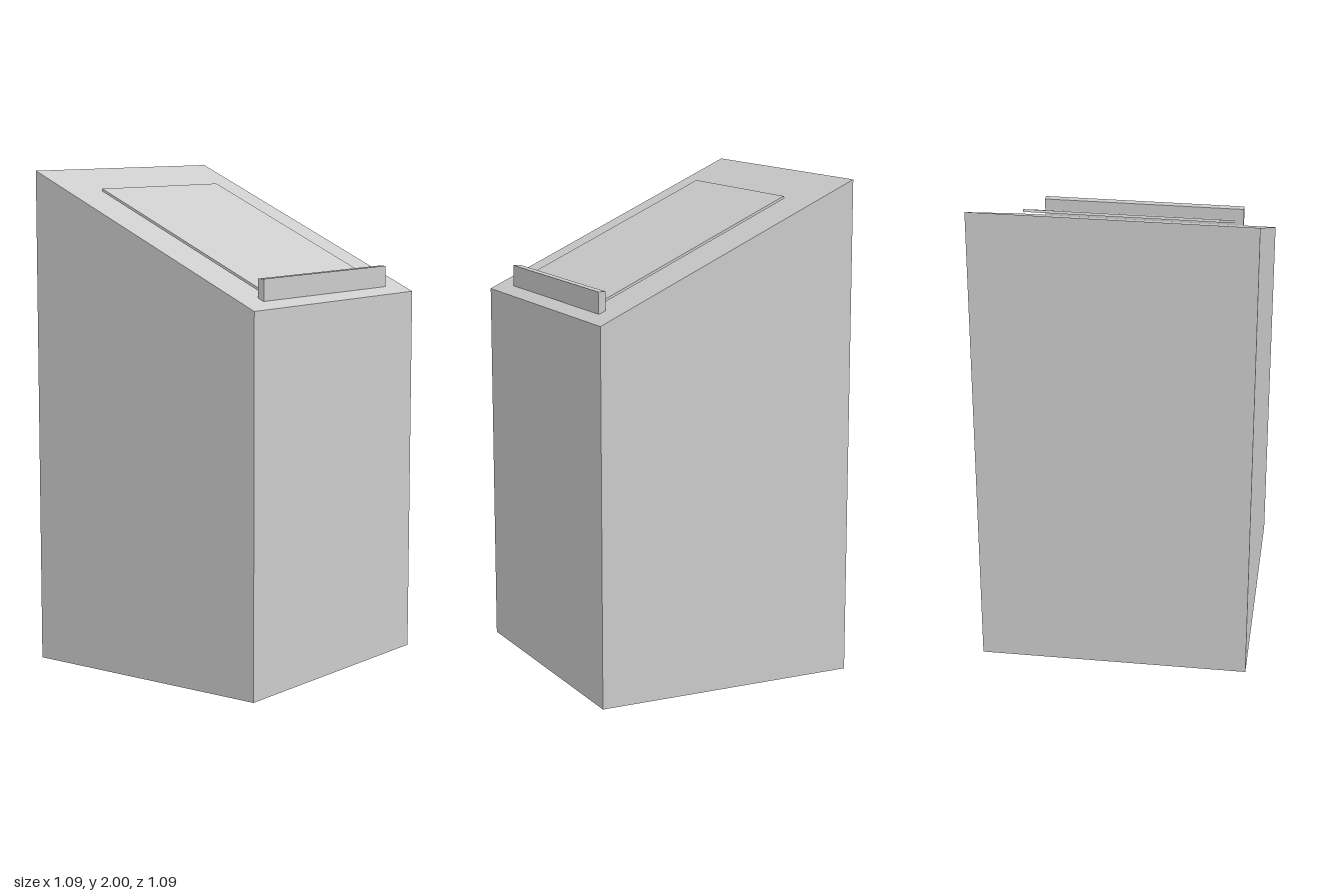
import * as THREE from 'three';

const WIDTH = 1.09, HALF = WIDTH / 2;
const FRONT_HEIGHT = 1.5, BACK_HEIGHT = 2;
const SLOPE = Math.atan2(BACK_HEIGHT - FRONT_HEIGHT, WIDTH);

export function createModel() {
  const group = new THREE.Group();
  const material = new THREE.MeshStandardMaterial({ color: 0xcccccc, flatShading: true });

  const addPart = (name, geometry, x = 0, y = 0, z = 0) => {
    const mesh = new THREE.Mesh(geometry, material);
    mesh.name = name;
    mesh.position.set(x, y, z);
    group.add(mesh);
    return mesh;
  };

  // Solid pedestal: side profile with a sloping top, extruded across the width
  const profile = new THREE.Shape([
    new THREE.Vector2(-HALF, 0),
    new THREE.Vector2(HALF, 0),
    new THREE.Vector2(HALF, BACK_HEIGHT),
    new THREE.Vector2(-HALF, FRONT_HEIGHT),
  ]);
  const body = new THREE.ExtrudeGeometry(profile, { depth: WIDTH, bevelEnabled: false });
  body.translate(0, 0, -HALF).rotateY(Math.PI / 2);
  addPart('pedestal', body);

  // Thin sheet hovering just above the sloping top
  const sheet = addPart('sheet', new THREE.BoxGeometry(0.745, 0.01, 0.872), -0.008, 1.742, 0.057);
  sheet.rotation.x = SLOPE;

  // Upright ledge that stops the sheet from sliding off
  addPart('ledge', new THREE.BoxGeometry(0.835, 0.085, 0.03), 0.002, 1.5675, 0.48);

  return group;
}
